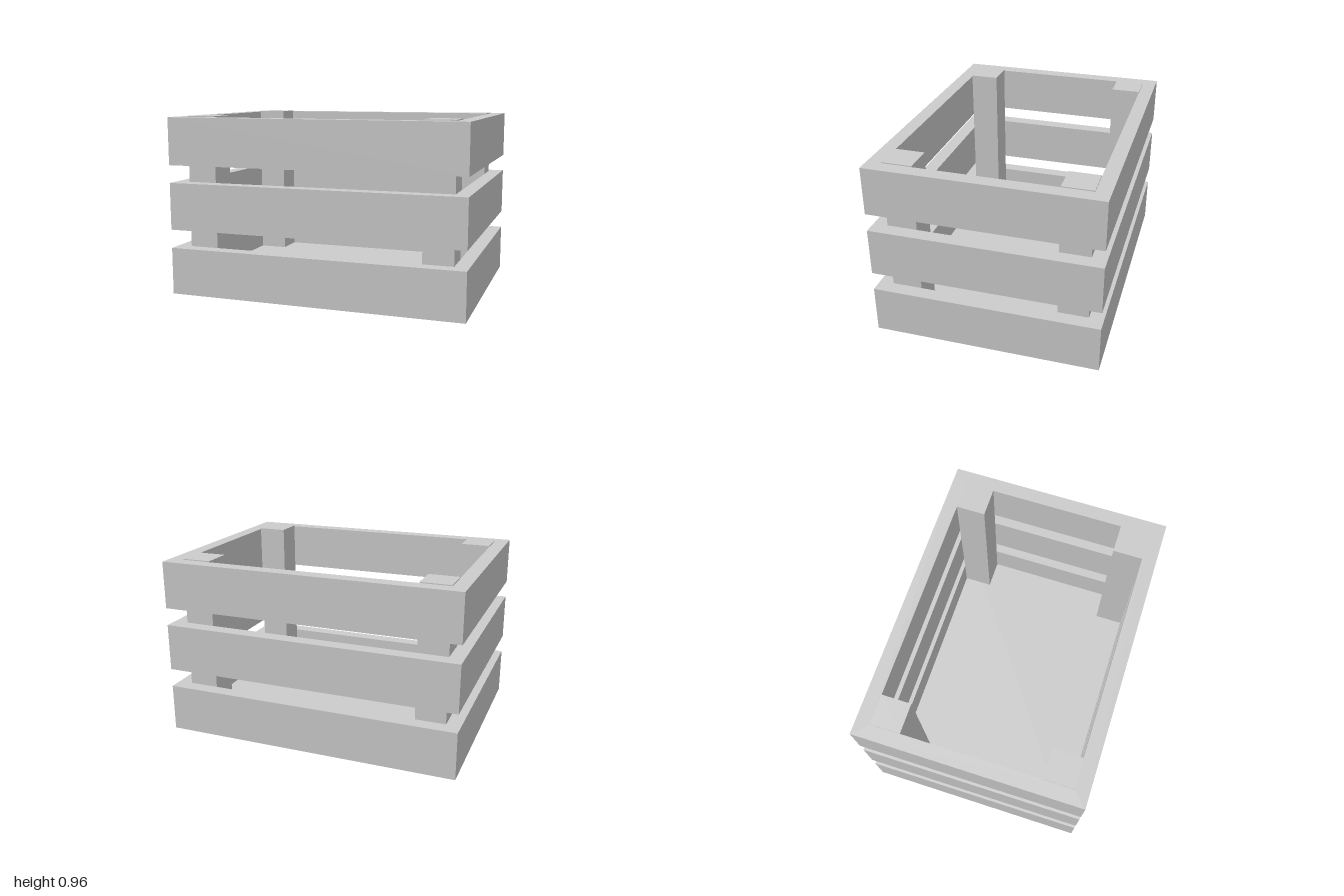
import * as THREE from 'three';

const LENGTH = 1.6, WIDTH = 1.2, THICK = 0.076, SLAT_HEIGHT = 0.254;
const POST = 0.159, POST_TOP = 0.962, FLOOR = 0.075;

const material = new THREE.MeshStandardMaterial({ color: 0xcccccc, flatShading: true });

function addMesh(parent, geometry, name) {
  const mesh = new THREE.Mesh(geometry, material);
  mesh.name = name;
  parent.add(mesh);
  return mesh;
}

// Board with mitred ends, its outer face at z = offset
function mitredBoard(length, offset) {
  const h = length / 2;
  const shape = new THREE.Shape([
    new THREE.Vector2(-h, -offset),
    new THREE.Vector2(h, -offset),
    new THREE.Vector2(h - THICK, -offset + THICK),
    new THREE.Vector2(-h + THICK, -offset + THICK),
  ]);
  const geometry = new THREE.ExtrudeGeometry(shape, { depth: SLAT_HEIGHT, bevelEnabled: false });
  return geometry.rotateX(-Math.PI / 2);
}

export function createModel() {
  const model = new THREE.Group();
  model.name = 'slattedCrate';
  const crate = new THREE.Group();
  crate.name = 'crate';
  crate.rotation.y = THREE.MathUtils.degToRad(-40);
  model.add(crate);

  // Three rings of slats, four mitred boards each
  const longBoard = mitredBoard(LENGTH, WIDTH / 2);
  const shortBoard = mitredBoard(WIDTH, LENGTH / 2);
  [0, 0.354, 0.703].forEach((y) => {
    const ring = new THREE.Group();
    ring.name = 'slatRing';
    ring.position.y = y;
    for (let k = 0; k < 4; k++) {
      const isShort = k % 2 === 1;
      const slat = addMesh(ring, isShort ? shortBoard : longBoard, isShort ? 'endSlat' : 'sideSlat');
      slat.rotation.y = k * Math.PI / 2;
    }
    crate.add(ring);
  });

  // Floor panel between the lowest slats
  const innerX = LENGTH / 2 - THICK, innerZ = WIDTH / 2 - THICK;
  addMesh(crate, new THREE.BoxGeometry(innerX * 2, FLOOR, innerZ * 2), 'floor').position.y = FLOOR / 2;

  // Corner posts standing on the floor, just proud of the top rim
  const postHeight = POST_TOP - FLOOR;
  const postGeometry = new THREE.BoxGeometry(POST, postHeight, POST);
  for (const sx of [-1, 1]) {
    for (const sz of [-1, 1]) {
      addMesh(crate, postGeometry, 'cornerPost').position.set(
        sx * (innerX - POST / 2), FLOOR + postHeight / 2, sz * (innerZ - POST / 2));
    }
  }
  return model;
}
